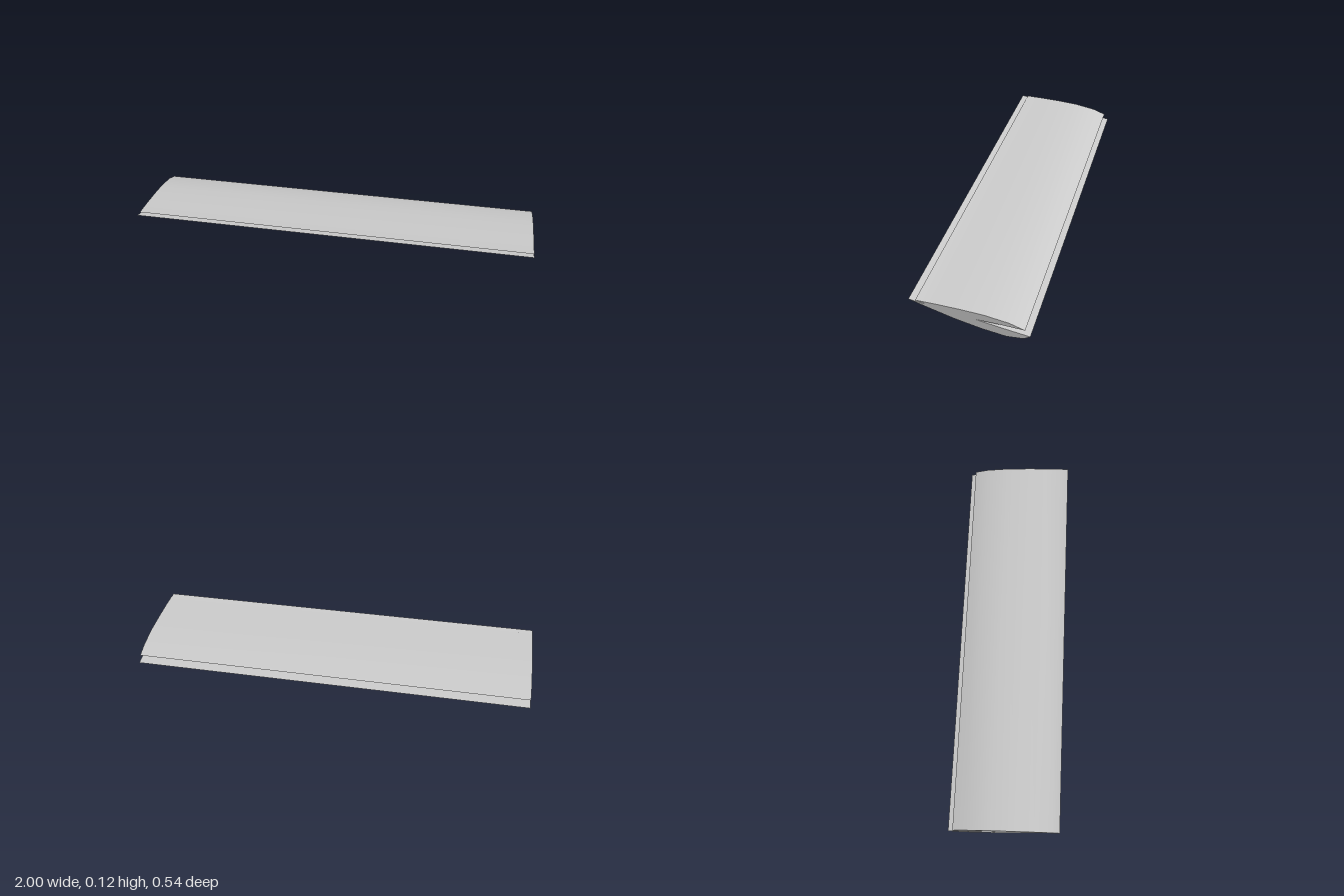
import * as THREE from 'three';
import { toCreasedNormals } from 'three/addons/utils/BufferGeometryUtils.js';

// Wing cross-section as [z, y] points
const upperSkin = [[0.24, 0.118], [0.15, 0.115], [0.05, 0.109], [-0.065, 0.099], [-0.178, 0.078], [-0.248, 0.052]];
const rearSlot = [[-0.14, 0.061], [-0.028, 0.067], [-0.15, 0.043]];
const lowerSkin = [[-0.271, 0.021], [-0.241, 0.004], [-0.165, 0], [-0.055, 0.02], [0.063, 0.05], [0.17, 0.084], [0.271, 0.118]];
const frontSlit = [[0.233, 0.111], [0.195, 0.107], [0.216, 0.112]];

export function createModel() {
  const group = new THREE.Group();
  group.name = 'wingSection';

  const grey = new THREE.MeshStandardMaterial({ color: 0xcccccc });
  grey.name = 'lightGrey';

  // Extrude the section along the span, then turn the span onto x
  const points = [...upperSkin, ...rearSlot, ...lowerSkin, ...frontSlit].map(([z, y]) => new THREE.Vector2(z, y));
  const body = new THREE.ExtrudeGeometry(new THREE.Shape(points), { depth: 2, bevelEnabled: false });
  body.translate(0, 0, -1);
  body.rotateY(-Math.PI / 2);

  // Smooth skins with sharp edges at the lips and end faces
  const wing = new THREE.Mesh(toCreasedNormals(body, 0.42), grey);
  wing.name = 'slottedWing';
  group.add(wing);
  return group;
}
